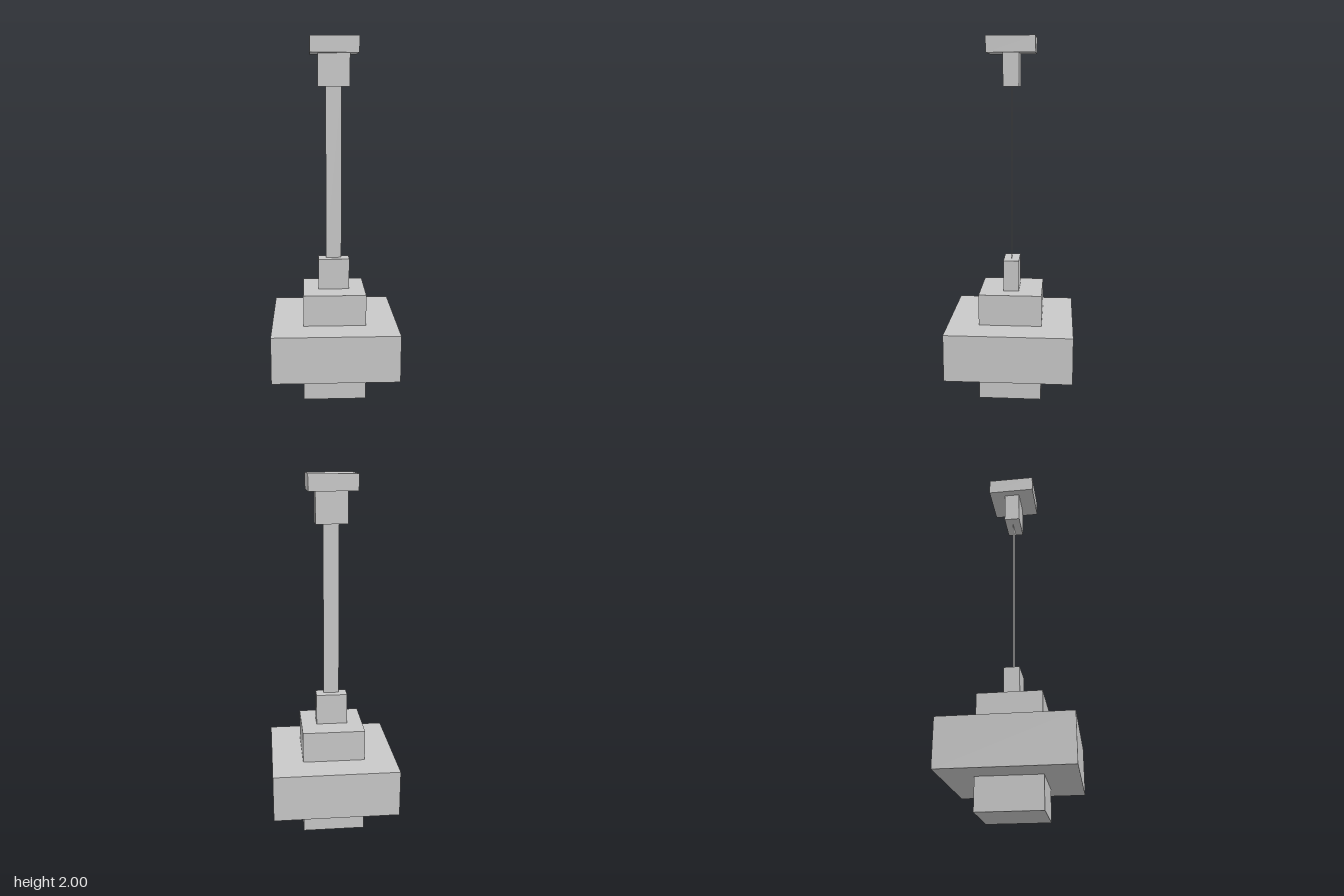
import * as THREE from 'three';

// One modelling unit; the lamp is 46 units tall
const U = 2 / 46;

export function createModel() {
  const group = new THREE.Group();
  group.name = 'hangingLamp';

  const grey = new THREE.MeshStandardMaterial({ color: 0xc8c8c8, side: THREE.DoubleSide });
  grey.name = 'lightGrey';

  const add = (name, geometry, y0, y1) => {
    const mesh = new THREE.Mesh(geometry, grey);
    mesh.name = name;
    mesh.position.y = (y0 + y1) / 2 * U;
    group.add(mesh);
  };

  // Stacked blocks: name, width, depth, bottom, top
  const blocks = [
    ['bottomBlock', 8, 8, 0, 4],
    ['lampBody', 16, 16, 4, 10],
    ['upperBlock', 8, 8, 10, 14],
    ['lowerCollar', 4, 2, 14, 18],
    ['upperCollar', 4, 2, 40, 44],
    ['ceilingPlate', 6, 6, 44, 46],
  ];
  for (const [name, w, d, y0, y1] of blocks) {
    add(name, new THREE.BoxGeometry(w * U, (y1 - y0) * U, d * U), y0, y1);
  }

  // Flat hanging strip, with no thickness
  add('hangingStrip', new THREE.PlaneGeometry(2 * U, 22 * U), 18, 40);

  return group;
}
